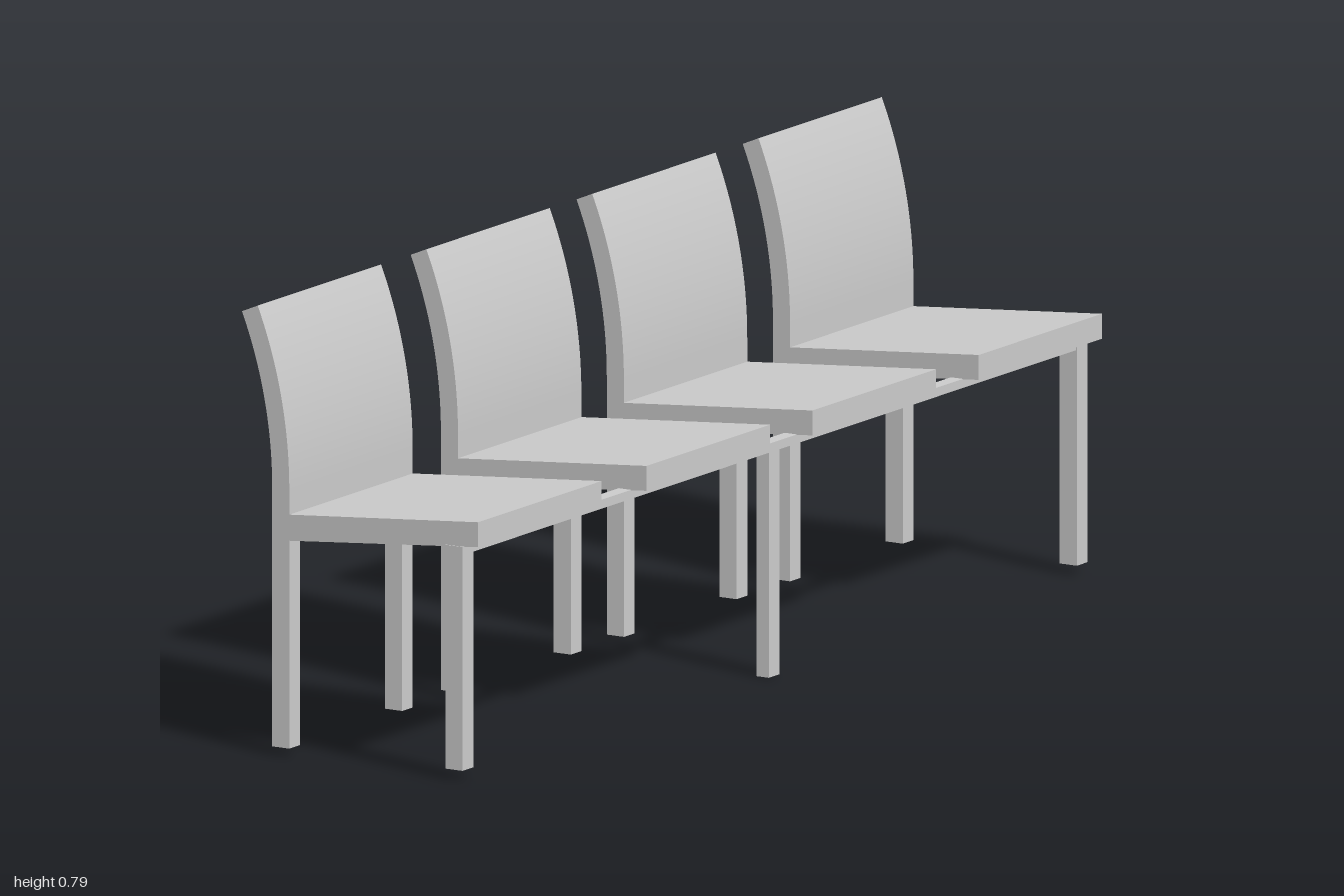
import * as THREE from 'three';
import { toCreasedNormals } from 'three/addons/utils/BufferGeometryUtils.js';

const material = new THREE.MeshStandardMaterial({ color: 0xcccccc });
const CHAIR_WIDTH = 0.395;
const LEG = 0.034;

// Box given by its minimum and maximum corners
function box(name, [x0, y0, z0], [x1, y1, z1]) {
  const mesh = new THREE.Mesh(new THREE.BoxGeometry(x1 - x0, y1 - y0, z1 - z0), material);
  mesh.position.set((x0 + x1) / 2, (y0 + y1) / 2, (z0 + z1) / 2);
  mesh.name = name;
  return mesh;
}

// Side profile pulled across the width of a chair
function panel(name, shape) {
  const geometry = new THREE.ExtrudeGeometry(shape, {
    depth: CHAIR_WIDTH, bevelEnabled: false, curveSegments: 16,
  });
  const mesh = new THREE.Mesh(toCreasedNormals(geometry, 0.4), material);
  mesh.name = name;
  return mesh;
}

// Gently rising seat slab
function seatShape() {
  return new THREE.Shape([
    new THREE.Vector2(-0.146, 0.381), new THREE.Vector2(0.24, 0.415),
    new THREE.Vector2(0.24, 0.459), new THREE.Vector2(-0.146, 0.427),
  ]);
}

// Backrest: straight at the bottom, then bent backwards along an arc
function backShape() {
  const outer = 0.82, inner = 0.785, bend = 0.4, cx = -0.966, cy = 0.469;
  const shape = new THREE.Shape();
  shape.moveTo(-0.181, 0.381);
  shape.lineTo(-0.146, 0.381);
  shape.lineTo(-0.146, cy);
  shape.absarc(cx, cy, outer, 0, bend, false);
  shape.absarc(cx, cy, inner, bend, 0, true);
  shape.closePath();
  return shape;
}

// One chair starting at z = 0, carried by two rear legs
function createChair() {
  const chair = new THREE.Group();
  chair.name = 'chair';
  chair.add(panel('seat', seatShape()), panel('backrest', backShape()));
  for (const z of [0, CHAIR_WIDTH - LEG]) {
    chair.add(box('rearLeg', [-0.181, 0.014, z], [-0.146, 0.381, z + LEG]));
  }
  return chair;
}

export function createModel() {
  const model = new THREE.Group();
  model.name = 'chairRow';

  for (const z of [-1, -0.468, 0.063, 0.603]) {
    const chair = createChair();
    chair.position.z = z;
    model.add(chair);
  }

  // Front rail shared by all seats
  model.add(box('frontRail', [0.183, 0.397, -0.98], [0.208, 0.413, 0.98]));

  // Front legs only at the two ends and in the middle
  for (const z of [-1, 1 - LEG]) {
    model.add(box('endFrontLeg', [0.175, 0.017, z], [0.21, 0.412, z + LEG]));
  }
  model.add(box('middleFrontLeg', [0.183, 0, -0.017], [0.208, 0.4, 0.017]));

  return model;
}
